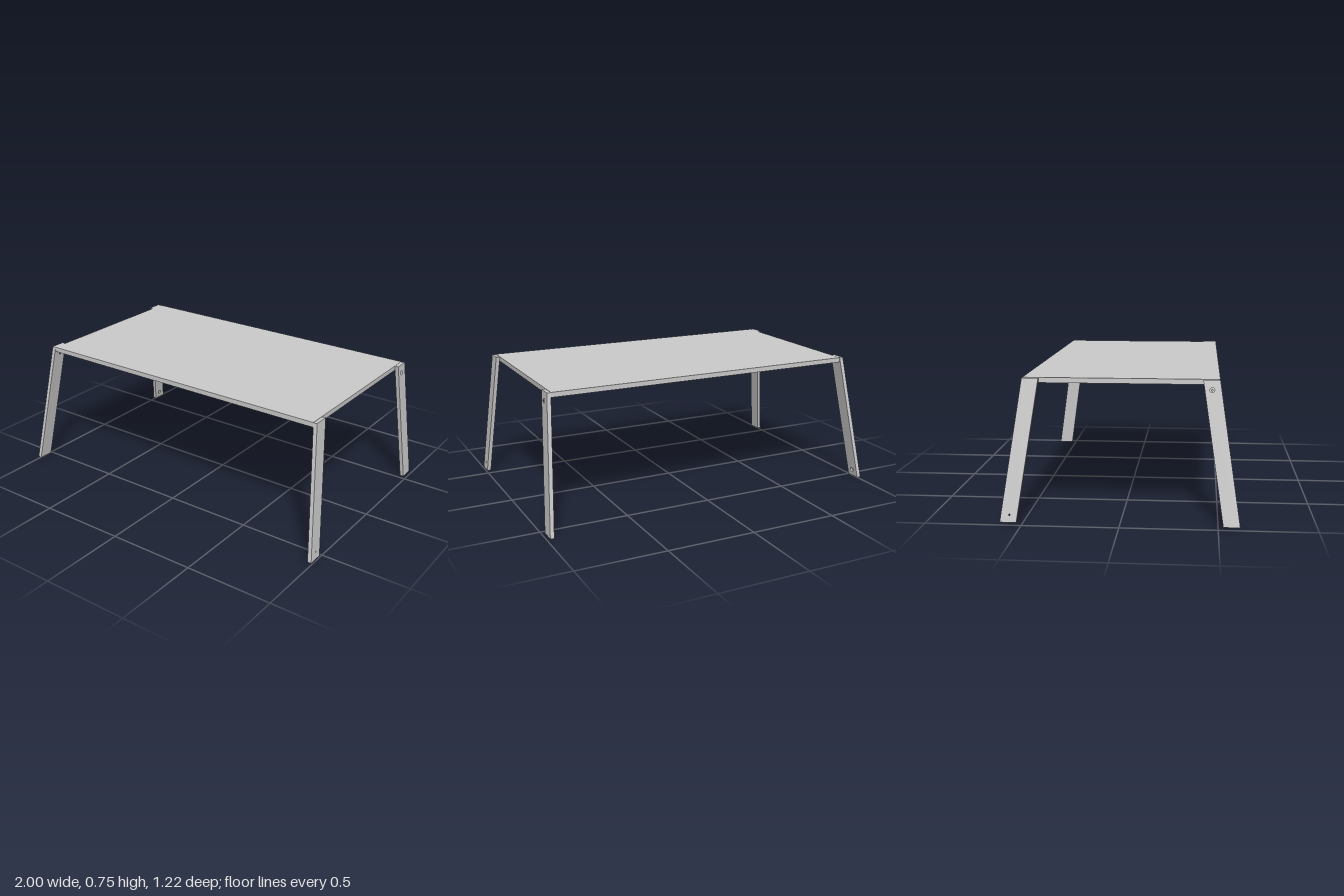
import * as THREE from 'three';

const TOP_Y = 0.745;
const THICK = 0.022;

// One leg: a slanted plank made of two layers, so that its screw hole is
// wide on one face (counterbore) and narrow on the other.
function makeLeg({ name, side, end, topX, slope, footY, screwAtTop }, material) {
  const leg = new THREE.Group();
  leg.name = name;
  const dir = -side * end; // shape axis that becomes z once turned to face outwards
  const hole = screwAtTop ? [0.46, 0.695] : [0.56, 0.05];

  for (const outer of [false, true]) {
    const shape = new THREE.Shape([
      new THREE.Vector2(dir * 0.415, TOP_Y),
      new THREE.Vector2(dir * 0.5, TOP_Y),
      new THREE.Vector2(dir * 0.61, footY),
      new THREE.Vector2(dir * 0.525, footY),
    ]);
    const radius = outer === screwAtTop ? 0.012 : 0.0045;
    shape.holes.push(new THREE.Path().absarc(dir * hole[0], hole[1], radius, 0, Math.PI * 2, true));

    const geometry = new THREE.ExtrudeGeometry(shape, { depth: THICK / 2, bevelEnabled: false, curveSegments: 12 });
    geometry.translate(0, 0, outer ? THICK / 2 : 0);
    geometry.rotateY(side * Math.PI / 2);

    // Splay outwards towards the foot, with ends cut square to the plank
    const p = geometry.attributes.position;
    for (let i = 0; i < p.count; i++) {
      const y = p.getY(i);
      const depth = Math.abs(p.getX(i));
      p.setX(i, side * (topX + depth + (TOP_Y - y) * slope));
      p.setY(i, y + (depth - (y > 0.4 ? THICK : 0)) * slope);
    }
    geometry.computeVertexNormals();
    const mesh = new THREE.Mesh(geometry, material);
    mesh.name = outer ? 'legOuterLayer' : 'legInnerLayer';
    leg.add(mesh);
  }
  return leg;
}

export function createModel() {
  const model = new THREE.Group();
  model.name = 'table';
  const material = new THREE.MeshStandardMaterial({ color: 0xcccccc, flatShading: true });

  // Table top
  const top = new THREE.Mesh(new THREE.BoxGeometry(1.79, 0.027, 1), material);
  top.name = 'tableTop';
  top.position.set(0.015, TOP_Y - 0.0135, 0);
  model.add(top);

  // Legs, each splayed a little differently; diagonal pairs share a screw position
  const legs = [
    { name: 'frontLeftLeg', side: 1, end: 1, topX: 0.91, slope: 0.09, footY: 0.007, screwAtTop: false },
    { name: 'backLeftLeg', side: 1, end: -1, topX: 0.91, slope: 0.066, footY: 0, screwAtTop: true },
    { name: 'frontRightLeg', side: -1, end: 1, topX: 0.88, slope: 0.133, footY: 0.012, screwAtTop: true },
    { name: 'backRightLeg', side: -1, end: -1, topX: 0.88, slope: 0.133, footY: 0.012, screwAtTop: false },
  ];
  for (const spec of legs) model.add(makeLeg(spec, material));
  return model;
}
